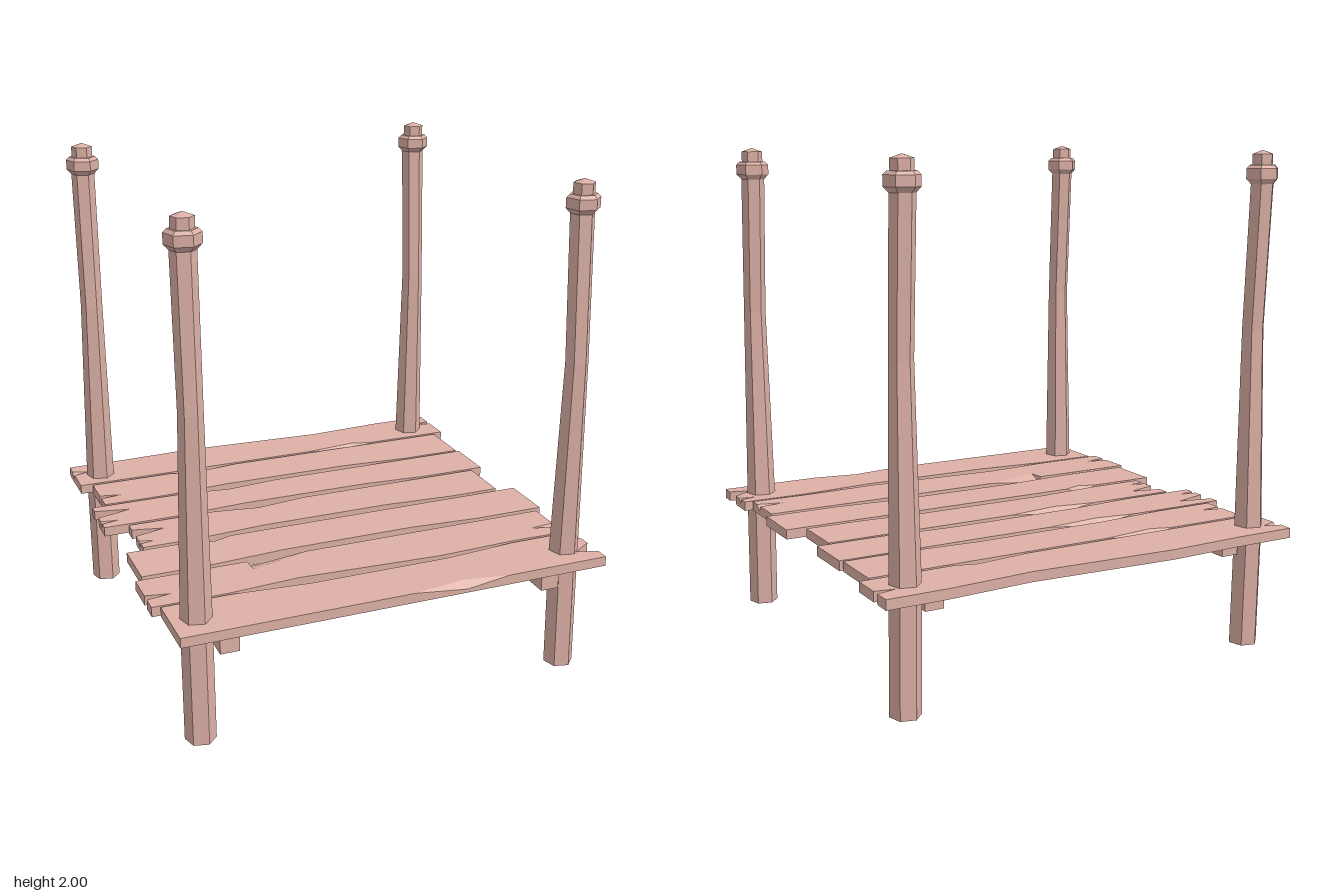
import * as THREE from 'three';

const material = new THREE.MeshStandardMaterial({ color: 0xdcb0a6, flatShading: true });
const TOP = 0.5, BOTTOM = 0.46, CHIP = 0.475;

// Outline points run back-left, back-right, front-right, front-left.
// [x, z] is a plain corner; [x, z, tipX, tipZ] is a chip broken out of the upper edge.
function plankGeometry(outline) {
  const v = (x, y, z) => new THREE.Vector3(x, y, z);
  const low = outline.map(([x, z]) => v(x, BOTTOM, z));
  const mid = outline.map((p) => v(p[0], p.length > 2 ? CHIP : TOP, p[1]));
  const top = outline.map((p) => (p.length > 2 ? v(p[2], TOP, p[3]) : v(p[0], TOP, p[1])));
  const pos = [];
  const tri = (a, b, c) => {
    const area = b.clone().sub(a).cross(c.clone().sub(a)).length();
    if (area > 1e-9) for (const p of [a, b, c]) pos.push(p.x, p.y, p.z);
  };
  const band = (r, s) => r.forEach((p, i) => {
    const j = (i + 1) % r.length;
    tri(p, s[i], s[j]);
    tri(p, s[j], r[j]);
  });
  const lid = (ring, up) => {
    const flat = ring.map((p) => new THREE.Vector2(p.x, p.z));
    for (const [i, j, k] of THREE.ShapeUtils.triangulateShape(flat, [])) {
      const [a, b, c] = [ring[i], ring[j], ring[k]];
      const ny = (b.z - a.z) * (c.x - a.x) - (b.x - a.x) * (c.z - a.z);
      if (ny * up > 0) tri(a, b, c); else tri(a, c, b);
    }
  };
  band(low, mid);
  band(mid, top);
  lid(top, 1);
  lid(low, -1);
  const g = new THREE.BufferGeometry();
  g.setAttribute('position', new THREE.Float32BufferAttribute(pos, 3));
  g.computeVertexNormals();
  return g;
}

// Extents plus the extra points along each edge, in outline order
function plank({ x: [x0, x1], z: [z0, z1], back = [], right = [], front = [], left = [] }) {
  return plankGeometry([[x0, z0], ...back, [x1, z0], ...right, [x1, z1], ...front, [x0, z1], ...left]);
}

// A chip along an edge at constant z, from x = a to x = b
const edgeChip = (z, a, b, tipX, tipZ) => [[a, z], [tipX, z, tipX, tipZ], [b, z]];
// A split in an end, right through or only chipped on top
const split = (x, a, b, tipX, tipZ) => [[x, a], [tipX, tipZ], [x, b]];
const endChip = (x, a, b, tipX, tipZ) => [[x, a], [x, tipZ, tipX, tipZ], [x, b]];
// Worn hollow along a front edge
const hollow = (z) => [[0.59, z], [0.29, z - 0.022], [-0.28, z - 0.022], [-0.58, z]];

const planks = [
  { x: [-0.89, 0.9], z: [-0.857, -0.63],
    back: [[-0.64, -0.855], [-0.31, -0.867], [0.305, -0.835], [0.655, -0.857]],
    right: split(0.9, -0.785, -0.755, 0.82, -0.77),
    front: edgeChip(-0.63, 0.52, 0.205, 0.43, -0.655),
    left: endChip(-0.89, -0.755, -0.8, -0.82, -0.775) },
  { x: [-0.84, 0.855], z: [-0.615, -0.385],
    back: edgeChip(-0.615, -0.48, -0.165, -0.395, -0.587),
    front: hollow(-0.385),
    left: split(-0.84, -0.455, -0.485, -0.75, -0.465) },
  { x: [-0.9, 0.865], z: [-0.372, -0.155],
    back: edgeChip(-0.372, -0.465, -0.05, -0.29, -0.348),
    front: hollow(-0.155),
    left: [...endChip(-0.9, -0.194, -0.218, -0.825, -0.208), ...split(-0.9, -0.26, -0.33, -0.755, -0.3)] },
  { x: [-0.8, 0.81], z: [-0.14, 0.09],
    back: edgeChip(-0.14, -0.42, -0.01, -0.235, -0.11),
    front: hollow(0.09),
    left: [...endChip(-0.8, 0.05, 0.024, -0.74, 0.04), ...split(-0.8, -0.025, -0.09, -0.67, -0.06)] },
  { x: [-0.875, 0.887], z: [0.112, 0.34],
    back: edgeChip(0.112, -0.59, -0.435, -0.515, 0.14),
    front: hollow(0.34) },
  { x: [-0.907, 0.855], z: [0.365, 0.595],
    back: edgeChip(0.365, -0.455, -0.2, -0.45, 0.437),
    right: endChip(0.855, 0.5, 0.54, 0.745, 0.512),
    front: [[0.62, 0.59], [0.28, 0.603], [-0.31, 0.572], [-0.6, 0.593]],
    left: split(-0.907, 0.53, 0.495, -0.81, 0.515) },
  { x: [-0.875, 0.887], z: [0.605, 0.857],
    back: [[-0.6, 0.605], [-0.28, 0.632], [0.3, 0.632], [0.6, 0.605]],
    right: [...endChip(0.887, 0.65, 0.675, 0.815, 0.662), ...split(0.887, 0.72, 0.8, 0.8, 0.775)],
    front: edgeChip(0.857, 0.455, 0.045, 0.27, 0.825) },
];

// Six-sided post: radius, height and sideways bend of each ring
const postRings = [
  [0, 0, 0.01], [0.06, 0, 0.01], [0.06, 0.5, 0], [0.046, 1.3, 0.011], [0.048, 1.87, -0.016],
  [0.067, 1.89, -0.014], [0.067, 1.93, -0.014], [0.054, 1.943, -0.014],
  [0.043, 1.943, -0.014], [0.043, 1.985, -0.014], [0, 2, -0.014],
];

function postGeometry() {
  const profile = postRings.map(([r, y]) => new THREE.Vector2(r, y));
  const g = new THREE.LatheGeometry(profile, 6, THREE.MathUtils.degToRad(76));
  const p = g.attributes.position;
  for (let i = 0; i < p.count; i++) p.setZ(i, p.getZ(i) + postRings[i % postRings.length][2]);
  g.computeVertexNormals();
  return g;
}

export function createModel() {
  const model = new THREE.Group();
  model.name = 'plankPlatform';
  const add = (name, geometry, x = 0, y = 0, z = 0) => {
    const mesh = new THREE.Mesh(geometry, material);
    mesh.name = name;
    mesh.position.set(x, y, z);
    model.add(mesh);
  };

  // Deck
  planks.forEach((p, i) => add(`deckPlank${i + 1}`, plank(p)));

  // Beams under the deck
  const beam = new THREE.BoxGeometry(0.076, 0.076, 1.565);
  add('rightBeam', beam, -0.68, 0.423, 0.0425);
  add('leftBeam', beam, 0.655, 0.423, 0.0425);

  // Corner posts
  const post = postGeometry();
  for (const [side, x] of [['Right', -0.777], ['Left', 0.766]])
    for (const [end, z] of [['front', 0.732], ['back', -0.73]]) add(`${end}${side}Post`, post, x, 0, z);

  return model;
}
